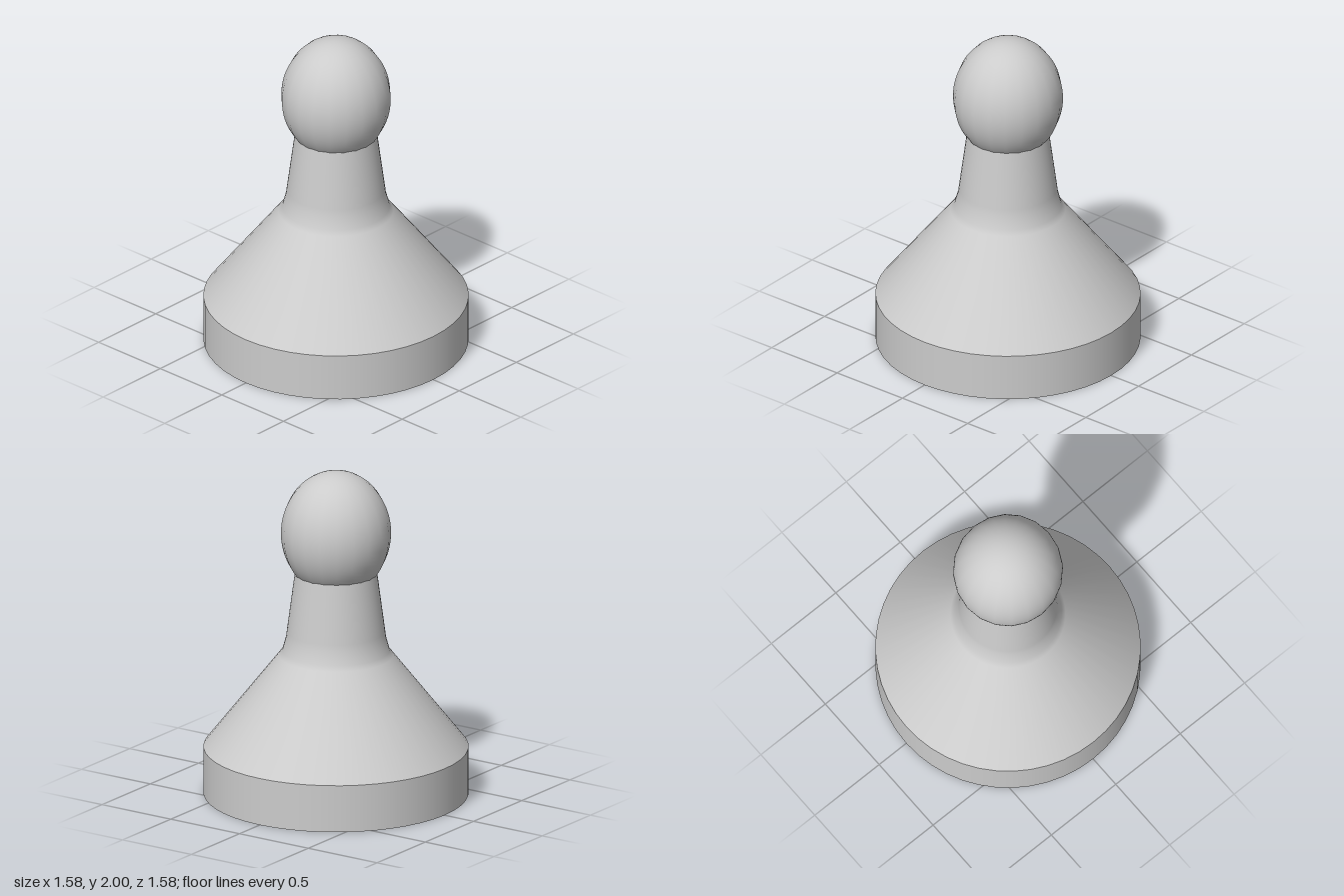
import * as THREE from 'three';

const SIDES = 48;

export function createModel() {
  const model = new THREE.Group();
  const material = new THREE.MeshStandardMaterial({ color: 0xcccccc });

  function add(name, geometry) {
    const mesh = new THREE.Mesh(geometry, material);
    mesh.name = name;
    model.add(mesh);
    return mesh;
  }

  // Profile points run upwards as [radius, height]
  const turned = (profile) =>
    new THREE.LatheGeometry(profile.map(([r, y]) => new THREE.Vector2(r, y)), SIDES);

  // Straight drum with a flat underside
  add('baseRim', turned([[0.79, 0], [0.79, 0.29]]));
  const underside = add('baseUnderside', new THREE.CircleGeometry(0.79, SIDES));
  underside.rotation.x = Math.PI / 2;

  // Conical skirt blending softly into the tapered neck
  add('skirtAndNeck', turned([
    [0.79, 0.29], [0.343, 0.86], [0.32, 0.89], [0.298, 0.97], [0.293, 1.01], [0.244, 1.38],
  ]));

  // Slightly tall round head, its lower end sunk into the neck
  const head = add('head', new THREE.SphereGeometry(0.328, 20, 32, 0, Math.PI * 2, 0, Math.PI * 0.8));
  head.scale.y = 0.38 / 0.328;
  head.position.y = 1.62;

  return model;
}
